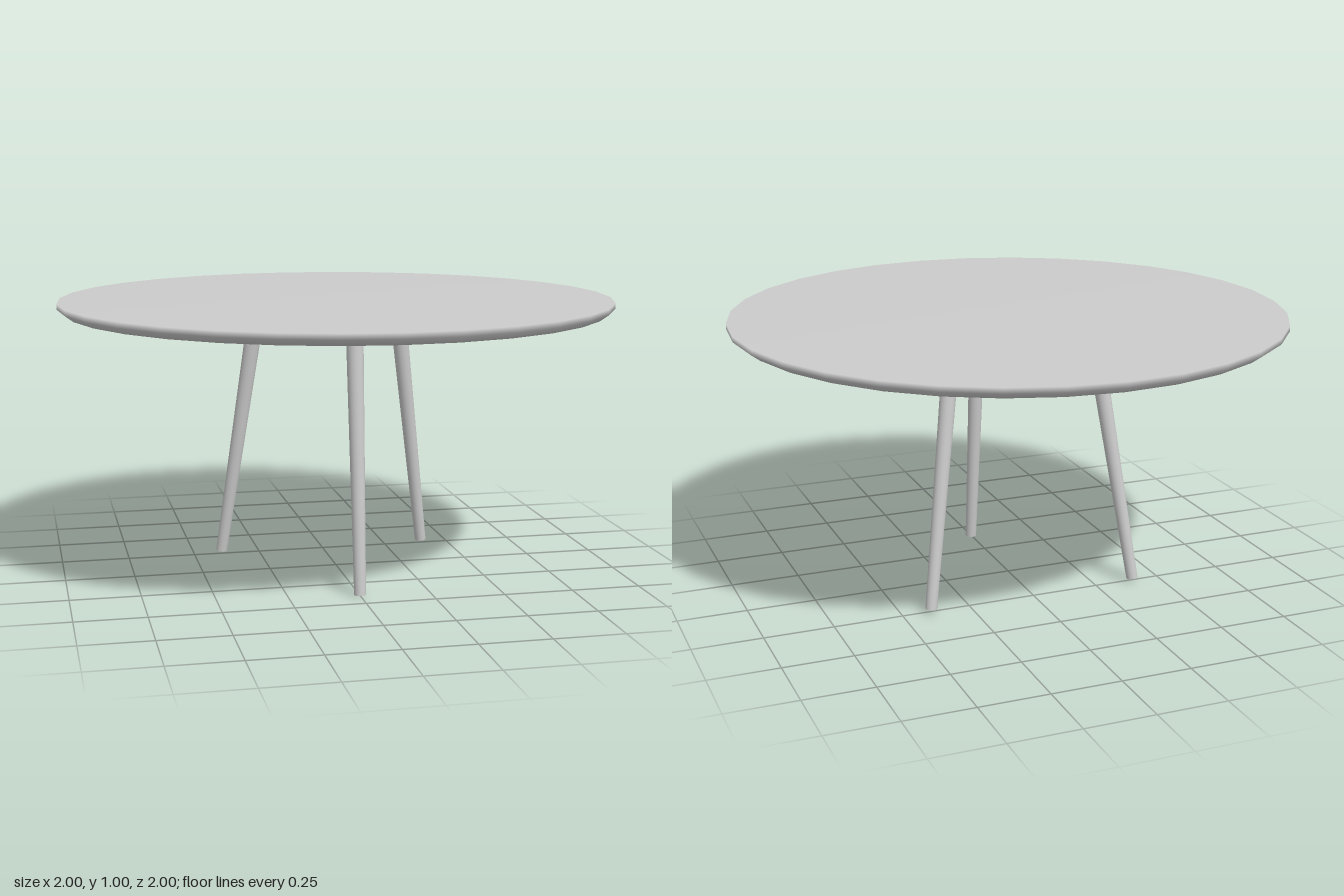
import * as THREE from 'three';

const material = new THREE.MeshStandardMaterial({ color: 0xcccccc });
const UP = new THREE.Vector3(0, 1, 0);

function add(parent, name, geometry) {
  const mesh = new THREE.Mesh(geometry, material);
  mesh.name = name;
  parent.add(mesh);
  return mesh;
}

// Tapered round leg from its foot to its top
function addLeg(parent, name, foot, top) {
  const axis = top.clone().sub(foot);
  const leg = add(parent, name, new THREE.CylinderGeometry(0.031, 0.021, axis.length(), 24));
  leg.position.copy(foot).add(top).multiplyScalar(0.5);
  leg.quaternion.setFromUnitVectors(UP, axis.normalize());
}

// Thin upright board between two leg tops
function addApron(parent, name, a, b) {
  const dx = b.x - a.x, dz = b.z - a.z;
  const apron = add(parent, name, new THREE.BoxGeometry(Math.hypot(dx, dz), 0.065, 0.025));
  apron.position.set((a.x + b.x) / 2, 0.9325, (a.z + b.z) / 2);
  apron.rotation.y = Math.atan2(-dz, dx);
}

export function createModel() {
  const table = new THREE.Group();
  table.name = 'roundTable';

  // Round top with a bevelled lower edge, softly shaded across the rim
  const profile = [[0, 0.963], [0.97, 0.963], [1, 0.985], [1, 1.005], [0, 1.005]]
    .map(([r, y]) => new THREE.Vector2(r, y));
  add(table, 'tabletop', new THREE.LatheGeometry(profile, 32));

  // Three splayed legs: one in front, two behind
  const legs = [
    ['frontLeg', new THREE.Vector3(0, 0.004, 0.405), new THREE.Vector3(0, 0.965, 0.305)],
    ['backLeftLeg', new THREE.Vector3(0.395, 0.014, -0.255), new THREE.Vector3(0.265, 0.965, -0.145)],
    ['backRightLeg', new THREE.Vector3(-0.395, 0.014, -0.255), new THREE.Vector3(-0.265, 0.965, -0.145)],
  ];
  legs.forEach(([name, foot, top]) => addLeg(table, name, foot, top));

  // Triangle of aprons joining the leg tops
  ['leftApron', 'backApron', 'rightApron'].forEach((name, i) =>
    addApron(table, name, legs[i][2], legs[(i + 1) % 3][2]));

  return table;
}
